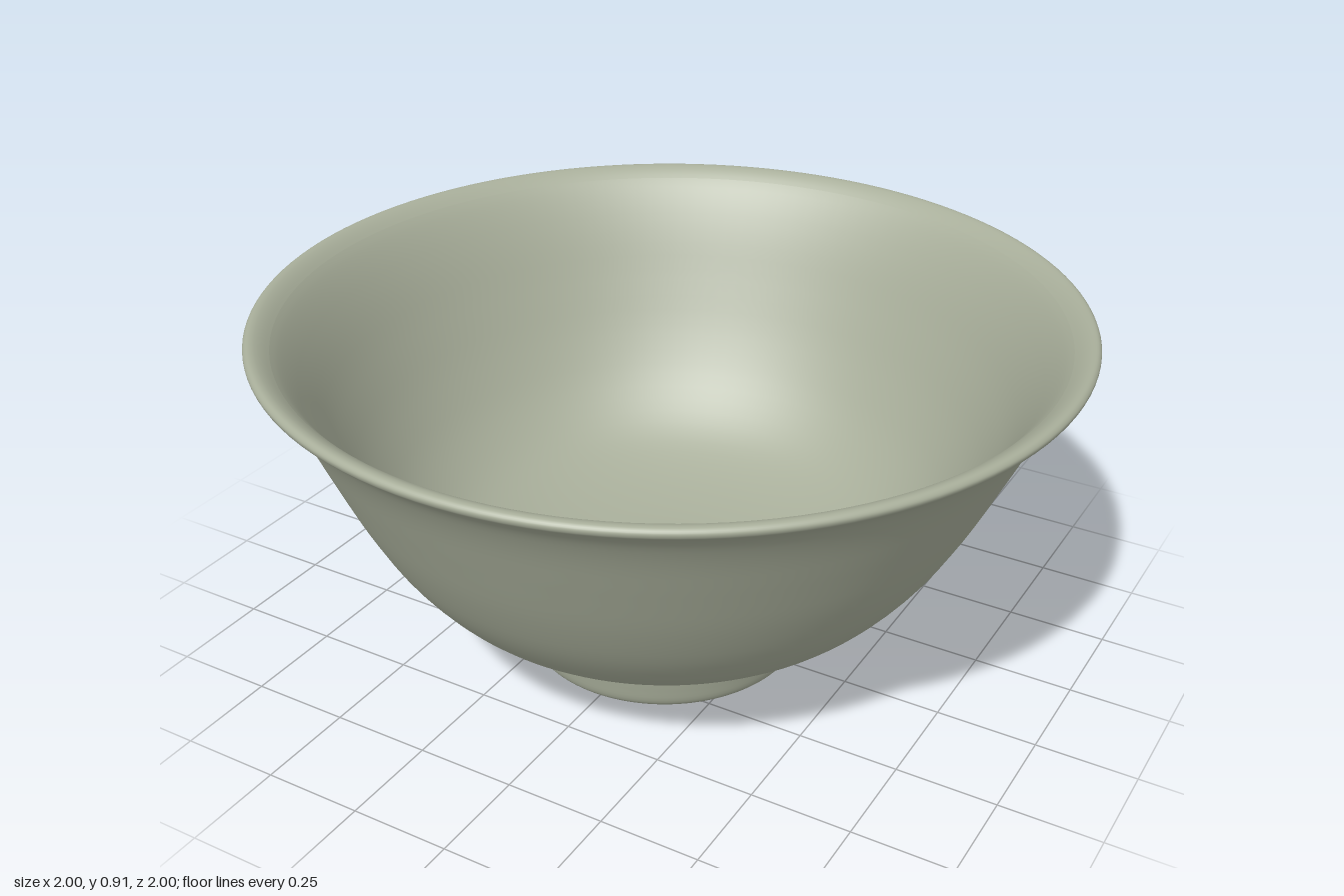
import * as THREE from 'three';

export function createModel() {
  const group = new THREE.Group();
  group.name = 'bowl';
  const glaze = new THREE.MeshStandardMaterial({ color: 0xa8ae9a });
  glaze.name = 'pale celadon glaze';

  // One continuous section: underside, foot ring, outer wall, lip, inside
  const section = [
    [0, 0.1], [0.12, 0.1], [0.22, 0.095], [0.27, 0.075], [0.295, 0.04], [0.31, 0.01], [0.325, 0.001],
    [0.343, 0.003], [0.357, 0.018], [0.367, 0.06], [0.375, 0.1], [0.387, 0.13], [0.415, 0.15],
    [0.5, 0.187], [0.6, 0.253], [0.7, 0.368], [0.78, 0.505], [0.85, 0.655], [0.905, 0.775], [0.945, 0.842],
    [0.975, 0.872], [0.996, 0.888], [0.999, 0.9], [0.99, 0.909], [0.972, 0.907],
    [0.94, 0.885], [0.905, 0.84], [0.86, 0.76], [0.8, 0.63], [0.73, 0.49], [0.65, 0.37],
    [0.55, 0.278], [0.43, 0.222], [0.28, 0.188], [0.14, 0.177], [0, 0.175],
  ].map(([r, y]) => new THREE.Vector3(r, y, 0));
  const curve = new THREE.CatmullRomCurve3(section, false, 'centripetal');
  const last = section.length - 1;

  // Turn the stretch of the section between two of its points
  function turned(name, from, to) {
    const steps = (to - from) * 4;
    const points = [];
    for (let i = 0; i <= steps; i++) {
      const p = curve.getPoint((from + (i / steps) * (to - from)) / last);
      points.push(new THREE.Vector2(Math.max(0, p.x), Math.max(0, p.y)));
    }
    const geometry = new THREE.LatheGeometry(points, 128);
    // Hand-thrown irregularity: foot slightly off centre, rim slightly tilted
    const pos = geometry.attributes.position;
    for (let i = 0; i < pos.count; i++) {
      const x = pos.getX(i), y = pos.getY(i), z = pos.getZ(i);
      const low = 1 - y / 0.91;
      pos.setXYZ(i, x - 0.014 * low, y - 0.004 * x * (1 - low), z + 0.014 * low);
    }
    const mesh = new THREE.Mesh(geometry, glaze);
    mesh.name = name;
    group.add(mesh);
  }

  turned('footRing', 0, 12);
  turned('outerWall', 12, 20);
  turned('lip', 20, 25);
  turned('inside', 25, last);
  return group;
}
